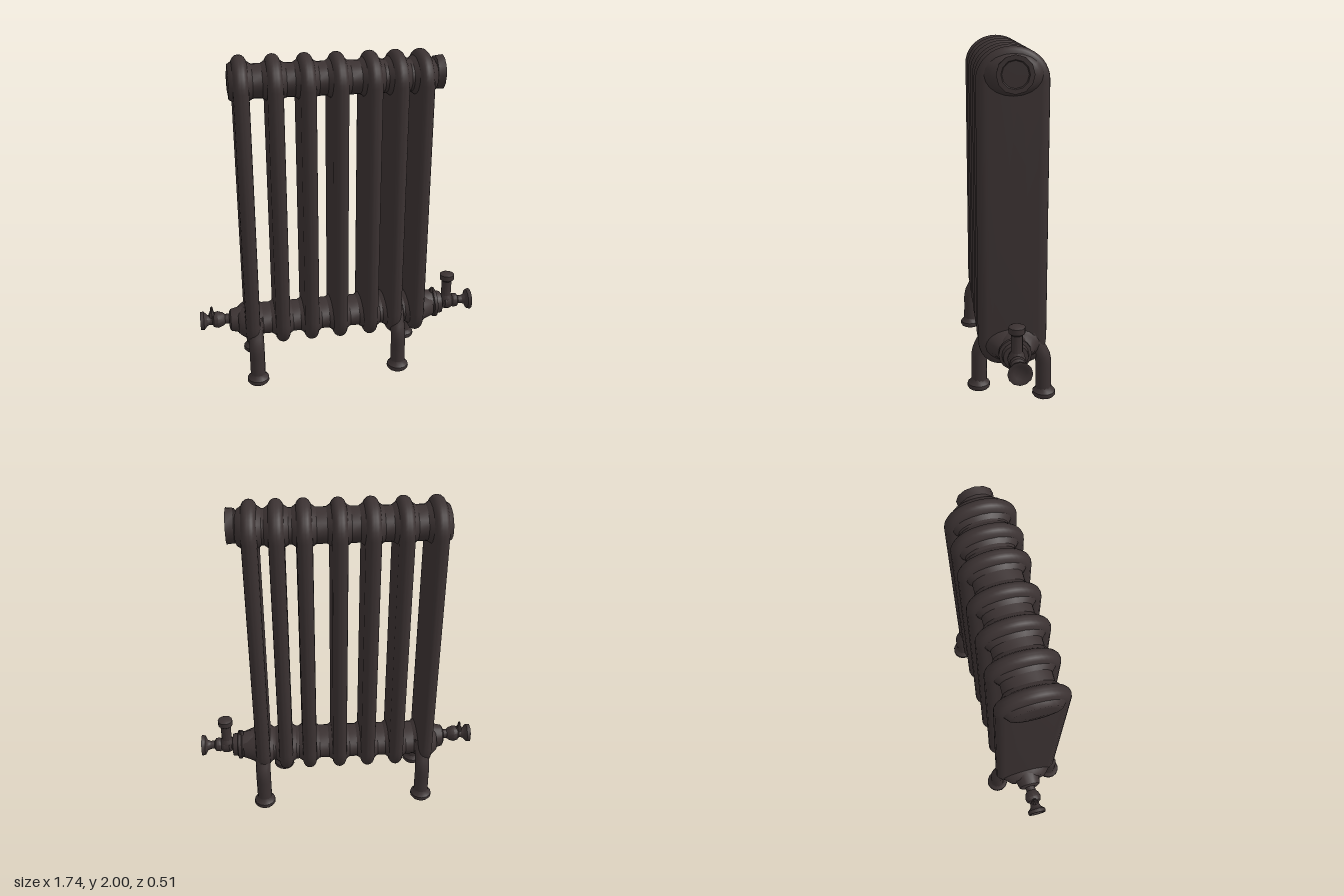
import * as THREE from 'three';
import { toCreasedNormals } from 'three/addons/utils/BufferGeometryUtils.js';

export function createModel() {
  const model = new THREE.Group();
  model.name = 'radiator';
  const iron = new THREE.MeshStandardMaterial({ color: 0x3b3232 });
  iron.name = 'dark cast iron';

  const add = (name, geometry, x = 0, y = 0, z = 0, parent = model) => {
    const mesh = new THREE.Mesh(geometry, iron);
    mesh.name = name;
    mesh.position.set(x, y, z);
    parent.add(mesh);
    return mesh;
  };
  // Turned part along +y from [radius, height] pairs, bottom to top
  const turned = (points, sides = 14) => toCreasedNormals(
    new THREE.LatheGeometry(points.map(([r, h]) => new THREE.Vector2(r, h)), sides), 0.7);
  // Turned part along x from [x, radius] pairs, left to right
  const turnedX = (points, sides = 16) =>
    turned(points.map(([x, r]) => [r, x]), sides).rotateZ(-Math.PI / 2);

  // Flat columns with rounded rims, arched at the top
  const columnXs = [-0.555, -0.37, -0.19, -0.01, 0.18, 0.33, 0.475];
  const rim = 0.05, half = 0.195 - rim, low = 0.215 + rim;
  const outline = new THREE.Shape();
  outline.moveTo(-0.06, low);
  outline.lineTo(0.06, low);
  outline.quadraticCurveTo(half, low, half, 0.38);
  outline.lineTo(half, 1.82);
  outline.absellipse(0, 1.82, half, 0.175 - rim, 0, Math.PI, false);
  outline.lineTo(-half, 0.38);
  outline.quadraticCurveTo(-half, low, -0.06, low);
  const columnGeometry = toCreasedNormals(new THREE.ExtrudeGeometry(outline, {
    depth: 0.006, bevelEnabled: true, bevelThickness: 0.041, bevelSize: rim,
    bevelSegments: 4, curveSegments: 10,
  }).translate(0, 0, -0.003).rotateY(Math.PI / 2), 0.8);
  columnXs.forEach((x) => add('column', columnGeometry, x));

  // Oval headers that swell where they meet each column
  const swell = (start, end) => [
    ...start,
    ...columnXs.flatMap((x) => [[x - 0.066, 1.02], [x - 0.04, 1.2], [x, 1.42], [x + 0.04, 1.2], [x + 0.066, 1.02]]),
    ...end,
  ];
  const topHeader = add('topHeader', turnedX(swell(
    [[-0.625, 0], [-0.626, 0.5], [-0.622, 0.8]],
    [[0.55, 0.9], [0.55, 0]]), 20), 0, 1.85);
  topHeader.scale.set(1, 0.092, 0.13);
  const bottomHeader = add('bottomHeader', turnedX(swell(
    [[-0.64, 0], [-0.64, 0.85]],
    [[0.6, 0.8], [0.6, 0]]), 20), 0, 0.34);
  bottomHeader.scale.set(1, 0.083, 0.13);

  // Plug closing the top header
  add('topPlug', turnedX([[0.5, 0], [0.5, 0.08], [0.545, 0.08], [0.555, 0.095],
    [0.6, 0.1], [0.6, 0.075], [0.592, 0.07], [0.592, 0]], 12), 0, 1.86);

  // Bushings at both ends of the bottom header
  add('leftBushing', turnedX([[-0.695, 0], [-0.695, 0.05], [-0.685, 0.068], [-0.6, 0.09], [-0.58, 0.09]]), 0, 0.343);
  add('rightBushing', turnedX([[0.52, 0.09], [0.57, 0.088], [0.61, 0.082], [0.615, 0.092],
    [0.635, 0.092], [0.64, 0.075], [0.67, 0.07], [0.675, 0.045], [0.675, 0]]), 0, 0.34);
  add('bushingLug', turned([[0.02, 0], [0.016, 0.05], [0.01, 0.06], [0, 0.062]], 6), 0.615, 0.39);

  // Left valve with knob and small bleed pin
  const leftValve = new THREE.Group();
  leftValve.name = 'leftValve';
  leftValve.position.y = 0.355;
  model.add(leftValve);
  add('valveBody', turnedX([[-0.83, 0.028], [-0.8, 0.03], [-0.79, 0.045], [-0.765, 0.052],
    [-0.735, 0.042], [-0.72, 0.03], [-0.69, 0.032]], 12), 0, 0, 0, leftValve);
  add('knob', turnedX([[-0.862, 0], [-0.862, 0.035], [-0.872, 0.045], [-0.872, 0.057],
    [-0.85, 0.058], [-0.83, 0.035], [-0.81, 0.028]], 10), 0, 0, 0, leftValve);
  add('bleedPin', turned([[0.022, 0], [0.02, 0.045], [0.012, 0.06], [0.006, 0.092], [0, 0.093]], 8), -0.8, 0, 0, leftValve);

  // Right valve with upright stem and knob
  const rightValve = new THREE.Group();
  rightValve.name = 'rightValve';
  rightValve.position.y = 0.345;
  model.add(rightValve);
  add('valveBody', turnedX([[0.66, 0.035], [0.685, 0.035], [0.695, 0.05], [0.73, 0.05], [0.745, 0.038],
    [0.755, 0.045], [0.78, 0.043], [0.79, 0.026], [0.84, 0.026]], 12), 0, 0, 0, rightValve);
  add('stem', turned([[0.045, -0.03], [0.045, 0.03], [0.032, 0.05], [0.032, 0.15], [0.046, 0.162],
    [0.046, 0.195], [0.03, 0.203], [0, 0.203]], 12), 0.71, 0, 0, rightValve);
  add('knob', turnedX([[0.815, 0.026], [0.835, 0.035], [0.848, 0.062], [0.87, 0.068],
    [0.87, 0.05], [0.86, 0.035], [0.86, 0]], 12), 0, 0, 0, rightValve);

  // Curved legs with flared round feet
  const legPath = new THREE.CatmullRomCurve3([[0.4, 0.1], [0.31, 0.145], [0.24, 0.177], [0.14, 0.181], [0.02, 0.184]]
    .map(([y, z]) => new THREE.Vector3(0, y, z)));
  const legGeometry = new THREE.TubeGeometry(legPath, 12, 0.046, 12);
  const footGeometry = turned([[0, 0], [0.06, 0], [0.068, 0.012], [0.066, 0.03], [0.05, 0.044], [0.044, 0.06]]);
  [[-0.54, 1], [-0.54, -1], [0.35, 1], [0.48, -1]].forEach(([x, side]) => {
    const leg = new THREE.Group();
    leg.name = side > 0 ? 'frontLeg' : 'backLeg';
    leg.position.x = x;
    leg.rotation.y = side > 0 ? 0 : Math.PI;
    add('legTube', legGeometry, 0, 0, 0, leg);
    add('foot', footGeometry, 0, 0, 0.185, leg);
    model.add(leg);
  });

  return model;
}
